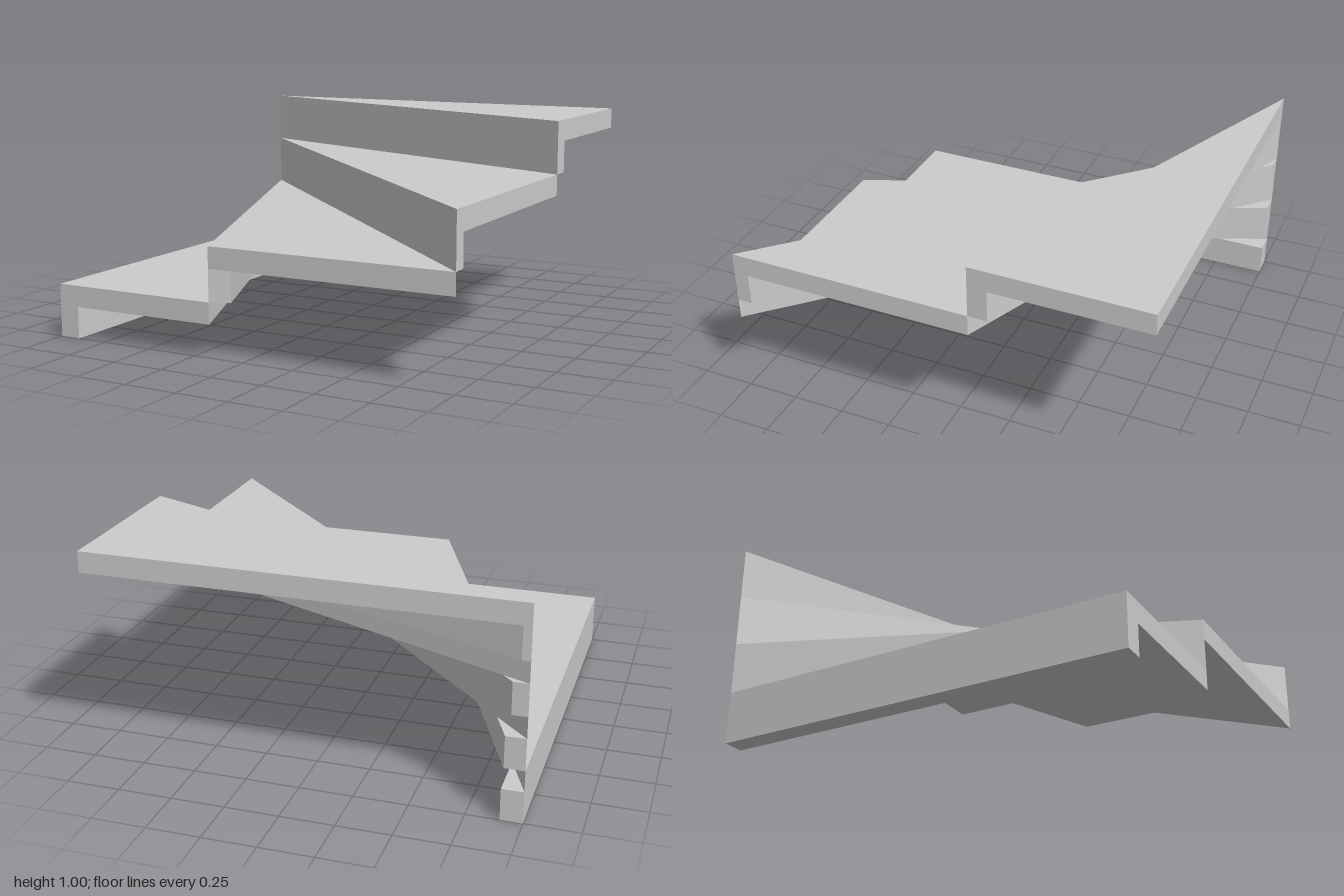
import * as THREE from 'three';

const STEPS = 4, RISE = 0.25, THICK = 0.1;

// Prism over a floor-plan outline of [x, z] points, between two heights
function slab(name, plan, y0, y1, material) {
  const shape = new THREE.Shape(plan.map(([x, z]) => new THREE.Vector2(x, -z)));
  const geometry = new THREE.ExtrudeGeometry(shape, { depth: y1 - y0, bevelEnabled: false });
  geometry.rotateX(-Math.PI / 2);
  geometry.translate(0, y0, 0);
  const mesh = new THREE.Mesh(geometry, material);
  mesh.name = name;
  return mesh;
}

export function createModel() {
  const group = new THREE.Group();
  group.name = 'winderStaircase';
  const grey = new THREE.MeshStandardMaterial({ color: 0xcccccc });
  grey.name = 'lightGrey';

  const pivot = [-1, -1];
  const angle = (i) => (i * Math.PI) / 2 / STEPS;
  // Where the ray from the pivot corner meets the far sides of the square
  const rim = (i) => {
    const s = Math.sin(angle(i)), c = Math.cos(angle(i));
    const r = 2 / Math.max(s, c);
    return [-1 + s * r, -1 + c * r];
  };
  const clamp = (v) => Math.min(1, Math.max(-1, v));

  for (let i = 0; i < STEPS; i++) {
    const step = new THREE.Group();
    step.name = `step${i + 1}`;
    const top = (i + 1) * RISE;

    // Triangular tread
    step.add(slab('tread', [pivot, rim(i), rim(i + 1)], top - THICK, top, grey));

    // Riser under the leading edge, kept inside the square
    const inward = ([x, z]) => [
      clamp(x + THICK * Math.cos(angle(i))),
      clamp(z - THICK * Math.sin(angle(i))),
    ];
    const plan = [pivot, rim(i), inward(rim(i)), inward(pivot)];
    step.add(slab('riser', plan, i * RISE, top - THICK, grey));
    group.add(step);
  }
  return group;
}
